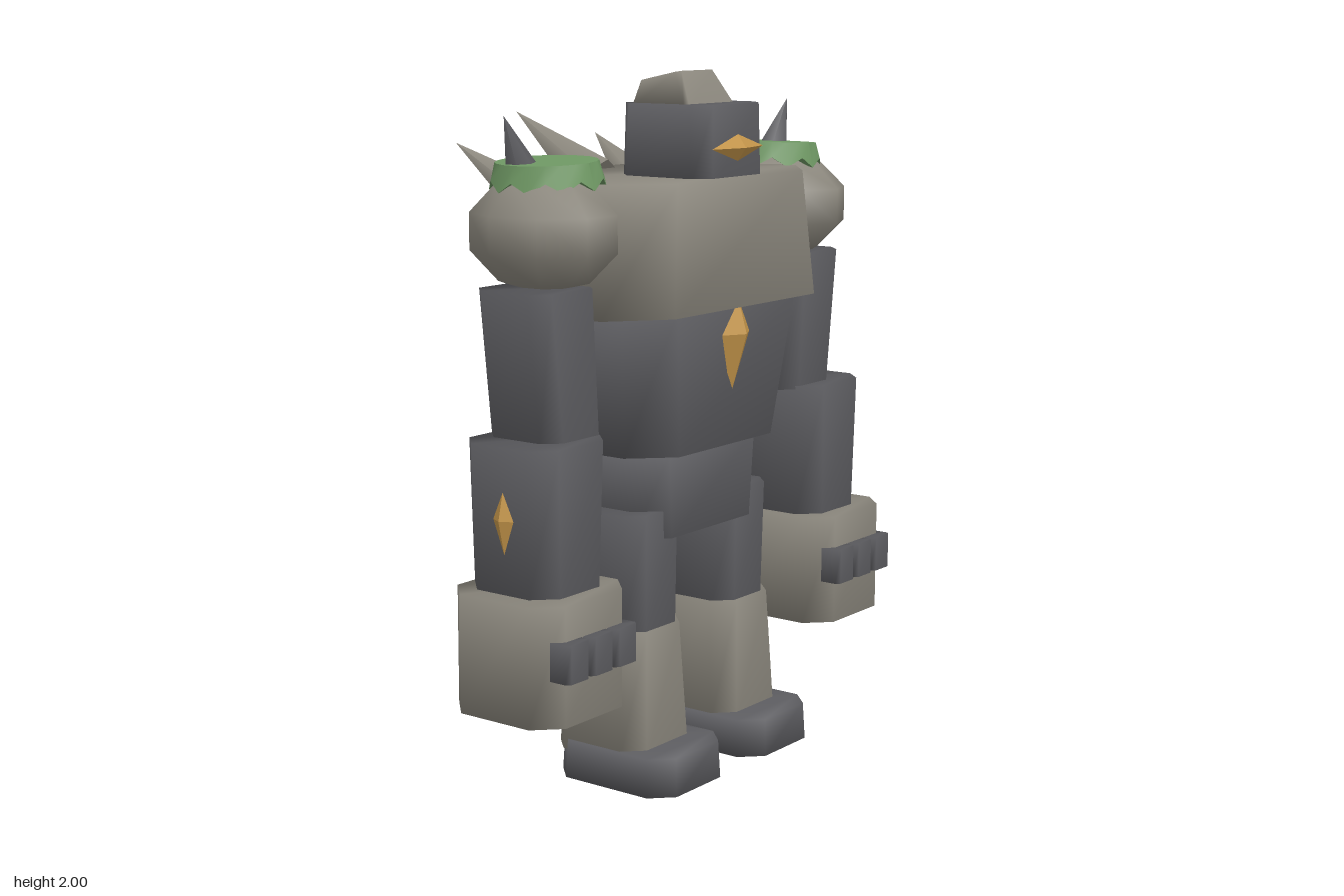
import * as THREE from 'three';

const mat = (name, color) => {
  const m = new THREE.MeshStandardMaterial({ color });
  m.name = name;
  return m;
};

// Smooth-shaded block with cut corners. Sections run upwards: [y, centreX, centreZ, halfX, halfZ]
function block(sections, cx, cz = cx) {
  const pos = [], idx = [], n = 8;
  for (const [y, x, z, hx, hz] of sections) {
    const a = hx - cx, b = hz - cz;
    const ring = [[hx, -b], [hx, b], [a, hz], [-a, hz], [-hx, b], [-hx, -b], [-a, -hz], [a, -hz]];
    for (const [u, v] of ring) pos.push(x + u, y, z - v);
  }
  const top = (sections.length - 1) * n;
  for (let s = 0; s < top; s += n) {
    for (let i = 0; i < n; i++) {
      const a = s + i, b = s + (i + 1) % n;
      idx.push(a, b, b + n, a, b + n, a + n);
    }
  }
  for (let i = 1; i < n - 1; i++) {
    idx.push(top, top + i, top + i + 1, 0, i + 1, i);
  }
  const g = new THREE.BufferGeometry();
  g.setAttribute('position', new THREE.Float32BufferAttribute(pos, 3));
  g.setIndex(idx);
  g.computeVertexNormals();
  return g;
}

export function createModel() {
  const model = new THREE.Group();
  model.name = 'stoneGolem';
  const stone = mat('paleStone', 0x8c887e);
  const dark = mat('darkStone', 0x5e5e62);
  const moss = mat('moss', 0x6f9864);
  const gold = mat('goldCrystal', 0xc4954a);

  const add = (name, geometry, material) => {
    const m = new THREE.Mesh(geometry, material);
    m.name = name;
    model.add(m);
    return m;
  };

  // Cone from a base point to a tip
  const spike = (name, base, tip, radius, material) => {
    const a = new THREE.Vector3(...base), b = new THREE.Vector3(...tip);
    const dir = b.clone().sub(a);
    const m = add(name, new THREE.ConeGeometry(radius, dir.length(), 6), material);
    m.position.copy(a).addScaledVector(dir, 0.5);
    m.quaternion.setFromUnitVectors(new THREE.Vector3(0, 1, 0), dir.normalize());
  };

  const gem = (name, position, scale) => {
    const m = add(name, new THREE.OctahedronGeometry(1), gold);
    m.position.set(...position);
    m.scale.set(...scale);
  };

  // Trunk
  add('pelvis', block([[0.7, 0, 0.12, 0.27, 0.18], [0.95, 0, 0.12, 0.285, 0.185]], 0.08), dark);
  add('abdomen', block([[0.945, 0, 0.125, 0.335, 0.225], [1.37, 0, 0.125, 0.395, 0.265]], 0.11), dark);
  add('chest', block([[1.35, 0, 0.12, 0.5, 0.3], [1.71, 0, 0.12, 0.46, 0.28]], 0.16, 0.13), stone);
  gem('chestCrystal', [0, 1.27, 0.37], [0.085, 0.16, 0.048]);

  // Jagged plate on the back, leaning forward at the top
  const outline = [[-0.36, 1.27], [0.36, 1.27], [0.38, 1.38], [0.33, 1.43], [0.4, 1.52], [0.34, 1.57],
    [0.36, 1.68], [0.27, 1.63], [0.19, 1.69], [0.08, 1.65], [0, 1.7], [-0.1, 1.64],
    [-0.2, 1.69], [-0.27, 1.64], [-0.37, 1.69], [-0.34, 1.58], [-0.4, 1.52], [-0.34, 1.43], [-0.38, 1.38]];
  const plate = new THREE.ExtrudeGeometry(new THREE.Shape(outline.map(p => new THREE.Vector2(...p))),
    { depth: 0.115, bevelEnabled: false });
  const pp = plate.attributes.position;
  for (let i = 0; i < pp.count; i++) {
    const lean = Math.max(0, pp.getY(i) - 1.5) * 0.12;
    const wrap = Math.max(0, Math.abs(pp.getX(i)) - 0.3) * 0.6;
    pp.setZ(i, pp.getZ(i) - 0.195 + lean + wrap);
  }
  plate.computeVertexNormals();
  add('backPlate', plate, dark);
  spike('middleBackSpike', [0, 1.67, -0.12], [0, 1.865, -0.425], 0.08, stone);

  // Head
  add('head', block([[1.68, 0, 0.225, 0.16, 0.155], [1.91, 0, 0.225, 0.155, 0.15]], 0.045), dark);
  gem('eye', [0, 1.79, 0.382], [0.122, 0.037, 0.028]);
  const crown = block([[1.9, 0, 0.195, 0.12, 0.1], [1.985, 0, 0.17, 0.085, 0.07]], 0.012);
  const cp = crown.attributes.position;
  for (let i = 8; i < 16; i++) cp.setY(i, 1.985 + (cp.getZ(i) - 0.17) * 0.21);
  crown.computeVertexNormals();
  add('crown', crown, stone);

  for (const s of [-1, 1]) {
    const side = s > 0 ? 'left' : 'right';

    // Legs
    add(side + 'Thigh', block([[0.42, s * 0.215, 0.155, 0.118, 0.125],
      [0.78, s * 0.218, 0.155, 0.122, 0.13]], 0.05), dark);
    add(side + 'Shin', block([[0.08, s * 0.22, 0.152, 0.152, 0.157],
      [0.445, s * 0.22, 0.152, 0.132, 0.14]], 0.055), stone);
    add(side + 'Foot', block([[0, s * 0.22, 0.215, 0.165, 0.205],
      [0.11, s * 0.22, 0.215, 0.16, 0.2]], 0.06), dark);

    // Arms
    add(side + 'UpperArm', block([[1.03, s * 0.563, 0.15, 0.12, 0.125],
      [1.44, s * 0.6, 0.15, 0.13, 0.125]], 0.045), dark);
    add(side + 'Forearm', block([[0.63, s * 0.633, 0.175, 0.142, 0.15],
      [1.04, s * 0.633, 0.175, 0.153, 0.155]], 0.06), dark);
    gem(side + 'ForearmCrystal', [s * 0.775, 0.845, 0.185], [0.026, 0.108, 0.045]);
    add(side + 'Fist', block([[0.31, s * 0.65, 0.198, 0.19, 0.188],
      [0.64, s * 0.65, 0.198, 0.19, 0.188]], 0.07), stone);
    for (let i = -1; i <= 1; i++) {
      add(side + 'Finger', block([[0.44, s * 0.65 + i * 0.102, 0.38, 0.047, 0.04],
        [0.545, s * 0.65 + i * 0.102, 0.38, 0.047, 0.04]], 0.012), dark);
    }

    // Shoulder boulder with its moss cap and thorn
    const shoulder = add(side + 'Shoulder', new THREE.SphereGeometry(1, 9, 5), stone);
    shoulder.scale.set(0.195, 0.165, 0.235);
    shoulder.position.set(s * 0.545, 1.585, 0.135);
    shoulder.rotation.set(0, s * 0.2, 0);

    const cap = new THREE.CylinderGeometry(0.135, 0.152, 0.045, 20, 1);
    const p = cap.attributes.position;
    for (let i = 0; i < p.count; i++) {
      const angle = Math.atan2(p.getZ(i), p.getX(i));
      if (p.getY(i) < 0) p.setY(i, p.getY(i) - 0.014 + 0.014 * Math.cos(10 * angle));
    }
    cap.computeVertexNormals();
    const mossCap = add(side + 'MossCap', cap, moss);
    mossCap.position.set(s * 0.525, 1.75, 0.13);
    mossCap.scale.z = 1.06;
    mossCap.rotation.z = s * -0.05;
    spike(side + 'ShoulderThorn', [s * 0.595, 1.75, 0.1], [s * 0.665, 1.895, 0.1], 0.046, dark);

    // Paired back spikes
    spike(side + 'UpperBackSpike', [s * 0.25, 1.625, -0.14], [s * 0.32, 1.79, -0.38], 0.075, stone);
    spike(side + 'LowerBackSpike', [s * 0.15, 1.45, -0.17], [s * 0.17, 1.56, -0.33], 0.062, stone);
  }
  return model;
}
